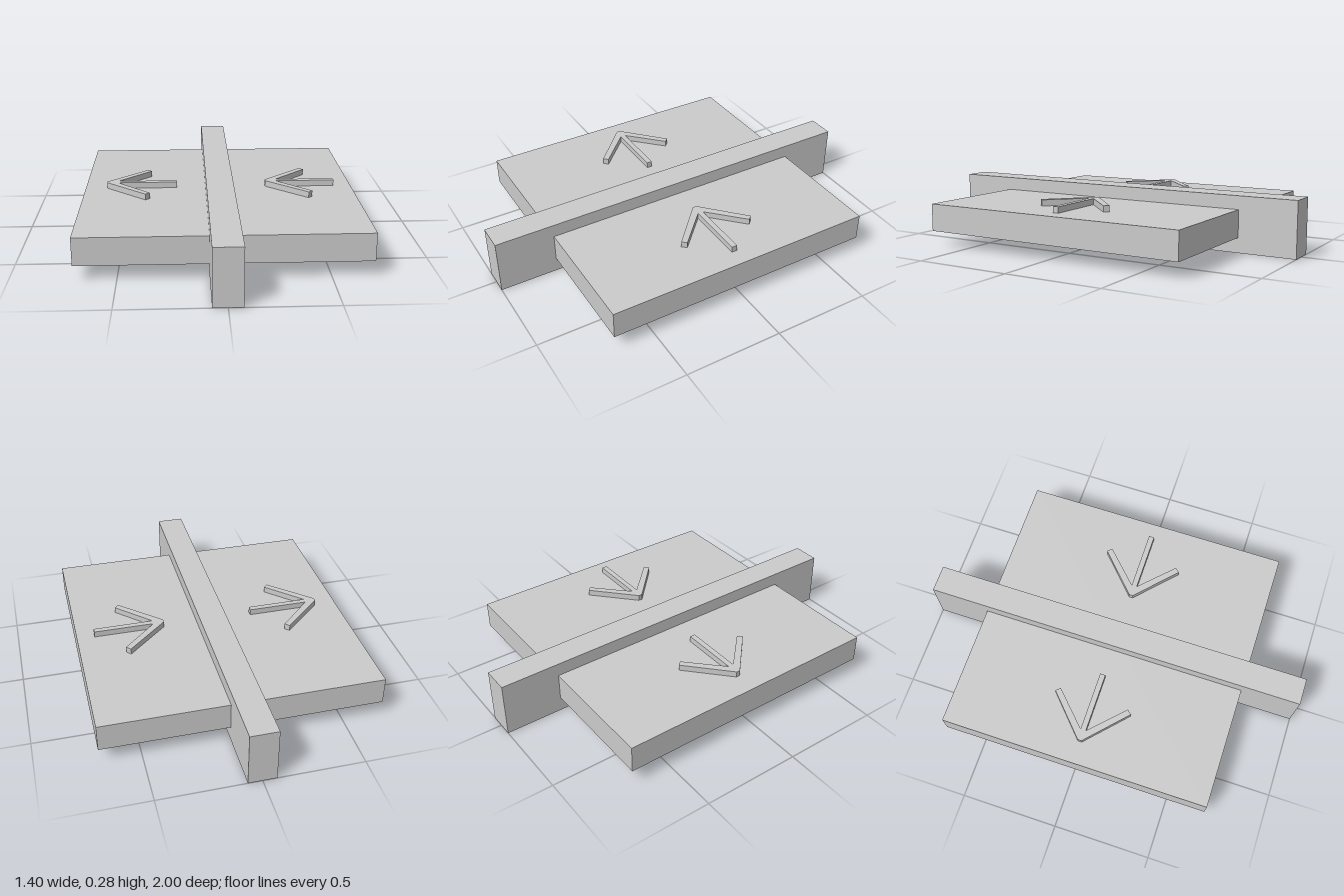
import * as THREE from 'three';

const material = new THREE.MeshStandardMaterial({ color: 0xcccccc });

// Box given by its size and the height of its underside
function block(name, width, height, depth, bottom) {
  const mesh = new THREE.Mesh(new THREE.BoxGeometry(width, height, depth), material);
  mesh.name = name;
  mesh.position.y = bottom + height / 2;
  return mesh;
}

// Arrow lying flat and pointing to -x, with its tip at the origin
function arrowGeometry(thickness) {
  const half = [[0, 0.01], [0.207, 0.203], [0.228, 0.181], [0.057, 0.014], [0.365, 0.014]];
  const mirrored = half.map(([x, y]) => [x, -y]).reverse();
  const outline = [...half, ...mirrored].map(([x, y]) => new THREE.Vector2(x, y));
  const geometry = new THREE.ExtrudeGeometry(new THREE.Shape(outline), {
    depth: thickness,
    bevelEnabled: false,
  });
  return geometry.rotateX(-Math.PI / 2);
}

export function createModel() {
  const model = new THREE.Group();
  model.name = 'arrowPlate';

  // Square plate crossed by a taller, longer bar
  const plateTop = 0.215;
  model.add(block('plate', 1.404, 0.139, 1.404, plateTop - 0.139));
  model.add(block('centreBar', 0.14, 0.283, 2, 0));

  // Raised arrows, one on each side of the bar
  const geometry = arrowGeometry(0.031);
  for (const [name, tipX] of [['rightArrow', -0.587], ['leftArrow', 0.246]]) {
    const arrow = new THREE.Mesh(geometry, material);
    arrow.name = name;
    arrow.position.set(tipX, plateTop, 0);
    model.add(arrow);
  }
  return model;
}
